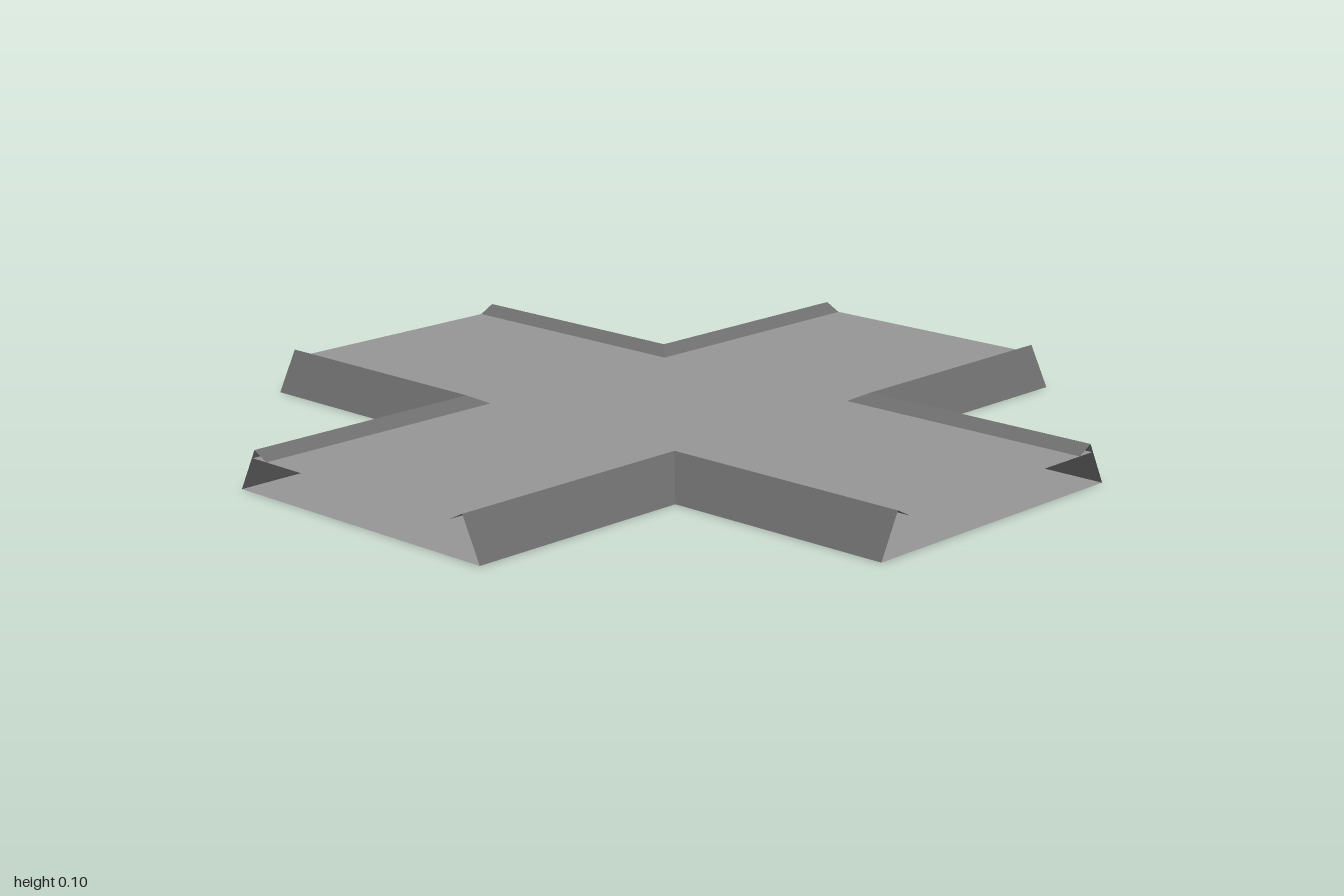
import * as THREE from 'three';

const END = 1; // half length of each arm

// Flat cross-shaped sheet with arms of the given half width, facing up
function crossSheet(w, y, material, name) {
  const points = [];
  for (let i = 0; i < 4; i++) {
    const turn = new THREE.Vector2();
    for (const [px, py] of [[END, -w], [END, w], [w, w]]) {
      points.push(new THREE.Vector2(px, py).rotateAround(turn, i * Math.PI / 2));
    }
  }
  const geometry = new THREE.ShapeGeometry(new THREE.Shape(points));
  geometry.rotateX(-Math.PI / 2);
  const mesh = new THREE.Mesh(geometry, material);
  mesh.position.y = y;
  mesh.name = name;
  return mesh;
}

// L-shaped strip around one inner corner, mitred, between two [offset, height] levels
function cornerStrip([r0, y0], [r1, y1], material, name) {
  const path = (r, y) => [[r, y, END], [r, y, r], [END, y, r]];
  const low = path(r0, y0), high = path(r1, y1);
  const vertices = [];
  for (let i = 0; i < 2; i++) {
    vertices.push(...low[i], ...low[i + 1], ...high[i + 1]);
    vertices.push(...low[i], ...high[i + 1], ...high[i]);
  }
  const geometry = new THREE.BufferGeometry();
  geometry.setAttribute('position', new THREE.Float32BufferAttribute(vertices, 3));
  geometry.computeVertexNormals();
  const mesh = new THREE.Mesh(geometry, material);
  mesh.name = name;
  return mesh;
}

export function createModel() {
  const floorGrey = new THREE.MeshStandardMaterial({ color: 0x969696, side: THREE.DoubleSide });
  floorGrey.name = 'floor grey';
  const curbGrey = new THREE.MeshStandardMaterial({ color: 0x6e6e6e, side: THREE.DoubleSide });
  curbGrey.name = 'curb grey';

  const model = new THREE.Group();
  model.name = 'crossroadTile';

  // Base sheet and raised deck, open at the arm ends
  model.add(crossSheet(0.4, 0, floorGrey, 'base'));
  model.add(crossSheet(0.355, 0.083, floorGrey, 'deck'));

  // Sloped outer wall and inward lip around each of the four corners
  const foot = [0.4, 0], crest = [0.348, 0.104], inner = [0.307, 0.083];
  for (let i = 0; i < 4; i++) {
    const curb = new THREE.Group();
    curb.name = 'curb' + (i + 1);
    curb.add(cornerStrip(foot, crest, curbGrey, 'outerWall'));
    curb.add(cornerStrip(crest, inner, curbGrey, 'innerLip'));
    curb.rotation.y = i * Math.PI / 2;
    model.add(curb);
  }
  return model;
}
